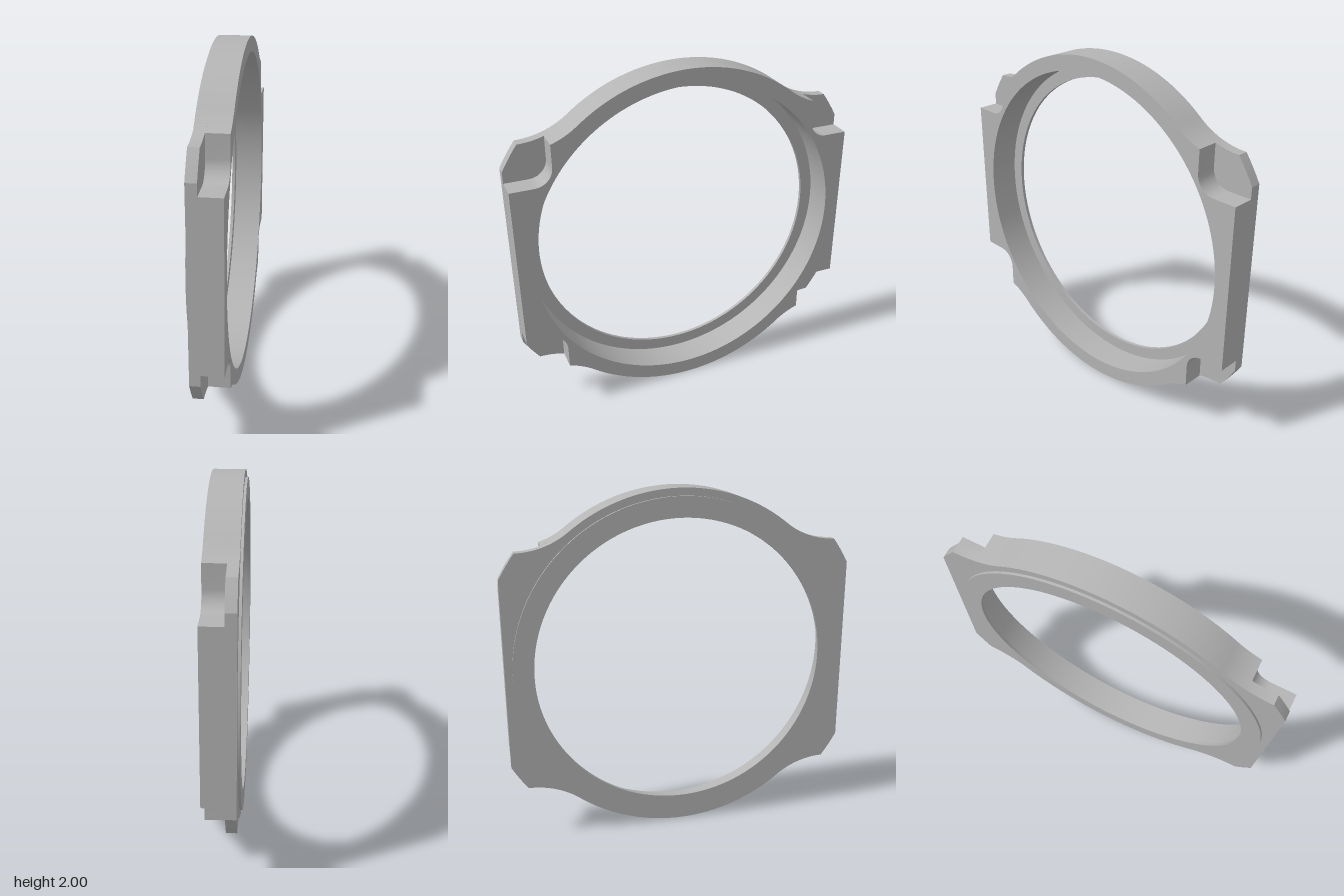
import * as THREE from 'three';
import { toCreasedNormals } from 'three/addons/utils/BufferGeometryUtils.js';

const BORE = 0.912, HOLE = 0.84;

// Points along an arc from angle a to angle b
function arc(cx, cy, r, a, b, n) {
  return Array.from({ length: n + 1 }, (_, i) => {
    const t = a + (b - a) * i / n;
    return new THREE.Vector2(cx + r * Math.cos(t), cy + r * Math.sin(t));
  });
}

// Frame outline: one quadrant mirrored four ways, with or without corner pockets
function outline(pocketed) {
  const R = 0.472, cx = 0.91, cy = 1.157;
  const join = Math.atan2(cy, cx);
  const start = pocketed ? -Math.PI / 2 - Math.asin((cx - 0.765) / R) : -Math.PI / 2;
  const corner = pocketed
    ? [new THREE.Vector2(1, 0.48), ...arc(0.865, 0.58, 0.1, -Math.PI / 2, -Math.PI, 10)]
    : arc(0, 0, 1.139, Math.atan2(0.545, 1), Math.atan2(0.685, 0.91), 4).slice(0, -1);
  const q = [
    ...corner,
    ...arc(cx, cy, R, start, join - Math.PI, 14),
    ...arc(0, 0, 1, join, Math.PI / 2, 20).slice(1),
  ];
  const flip = (sx, sy) => q.map(p => new THREE.Vector2(p.x * sx, p.y * sy));
  return new THREE.Shape([
    ...q,
    ...flip(-1, 1).reverse().slice(1),
    ...flip(-1, -1),
    ...flip(1, -1).reverse().slice(1),
  ]);
}

// Extrude a holed shape along x, from x0 to x1
function layer(name, shape, holeRadius, x0, x1, material) {
  shape.holes.push(new THREE.Path().absarc(0, 0, holeRadius, 0, Math.PI * 2, true));
  const extruded = new THREE.ExtrudeGeometry(shape, { depth: x1 - x0, bevelEnabled: false, curveSegments: 128 });
  const geometry = toCreasedNormals(extruded, 0.3);
  geometry.rotateY(Math.PI / 2);
  geometry.translate(x0, 1, 0);
  const mesh = new THREE.Mesh(geometry, material);
  mesh.name = name;
  return mesh;
}

export function createModel() {
  const group = new THREE.Group();
  group.name = 'ringFrame';
  const metal = new THREE.MeshStandardMaterial({ color: 0xb4b4b4 });
  metal.name = 'grey metal';

  // Full plate, then the thicker layer whose corners are cut away as pockets
  group.add(layer('basePlate', outline(false), BORE, -0.083, -0.025, metal));
  group.add(layer('pocketedFrame', outline(true), BORE, -0.025, 0.097, metal));

  // Thin lip that narrows the bore and stands proud of the plate
  const disc = new THREE.Shape().absarc(0, 0, 0.957, 0, Math.PI * 2, false);
  group.add(layer('retainingLip', disc, HOLE, -0.097, -0.078, metal));
  return group;
}
